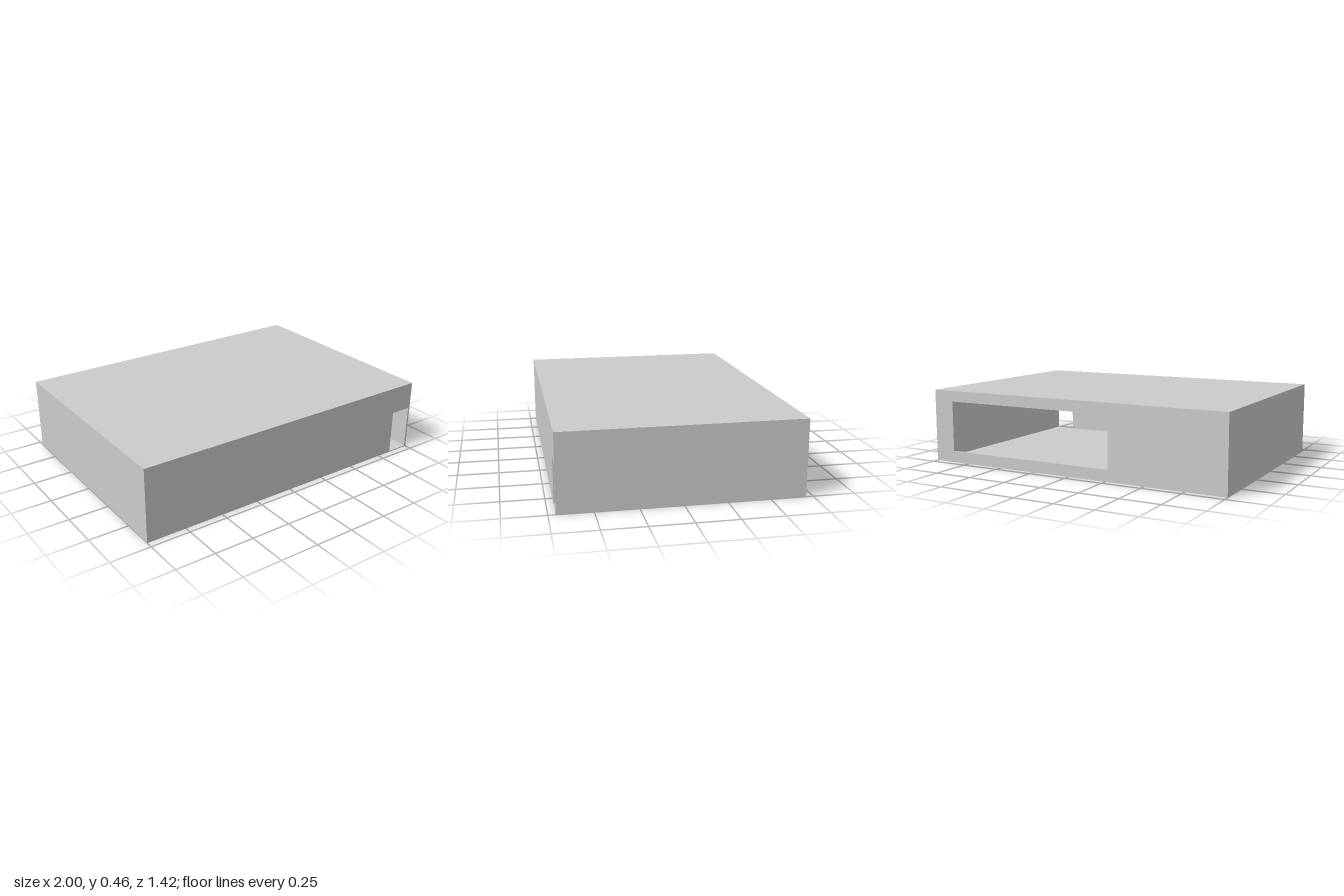
import * as THREE from 'three';

const W = 2, D = 1.416, H = 0.46; // overall size
const T = 0.012;                  // wall thickness
const FLOOR = 0.006, ROOF = 0.01; // slab thicknesses

export function createModel() {
  const group = new THREE.Group();
  const material = new THREE.MeshStandardMaterial({ color: 0xcccccc, flatShading: true });

  const add = (name, geometry, x, y, z) => {
    const mesh = new THREE.Mesh(geometry, material);
    mesh.name = name;
    mesh.position.set(x, y, z);
    group.add(mesh);
  };

  // Closed outline from corner pairs
  const outline = (Type, points) => new Type(points.map(([x, y]) => new THREE.Vector2(x, y)));
  const extrude = (shape) => new THREE.ExtrudeGeometry(shape, { depth: T, bevelEnabled: false });

  const bottom = FLOOR, top = H - ROOF;

  // Floor and roof slabs
  add('floor', new THREE.BoxGeometry(W, FLOOR, D), 0, FLOOR / 2, 0);
  add('roof', new THREE.BoxGeometry(W, ROOF, D), 0, H - ROOF / 2, 0);

  // Side walls, between the front and back walls
  for (const [name, side] of [['leftWall', 1], ['rightWall', -1]]) {
    add(name, new THREE.BoxGeometry(T, top - bottom, D - 2 * T),
      side * (W - T) / 2, (top + bottom) / 2, 0);
  }

  // Front wall with a doorway notch reaching the floor
  const doorL = 0.848, doorR = 0.987, doorTop = 0.285;
  const front = outline(THREE.Shape, [
    [-W / 2, bottom], [doorL, bottom], [doorL, doorTop], [doorR, doorTop],
    [doorR, bottom], [W / 2, bottom], [W / 2, top], [-W / 2, top],
  ]);
  add('frontWall', extrude(front), 0, 0, D / 2 - T);

  // Back wall with a wide window opening
  const back = outline(THREE.Shape, [
    [-W / 2, bottom], [W / 2, bottom], [W / 2, top], [-W / 2, top],
  ]);
  back.holes.push(outline(THREE.Path, [
    [-0.267, 0.072], [-0.267, 0.392], [0.862, 0.392], [0.862, 0.072],
  ]));
  add('backWall', extrude(back), 0, 0, -D / 2);

  return group;
}
